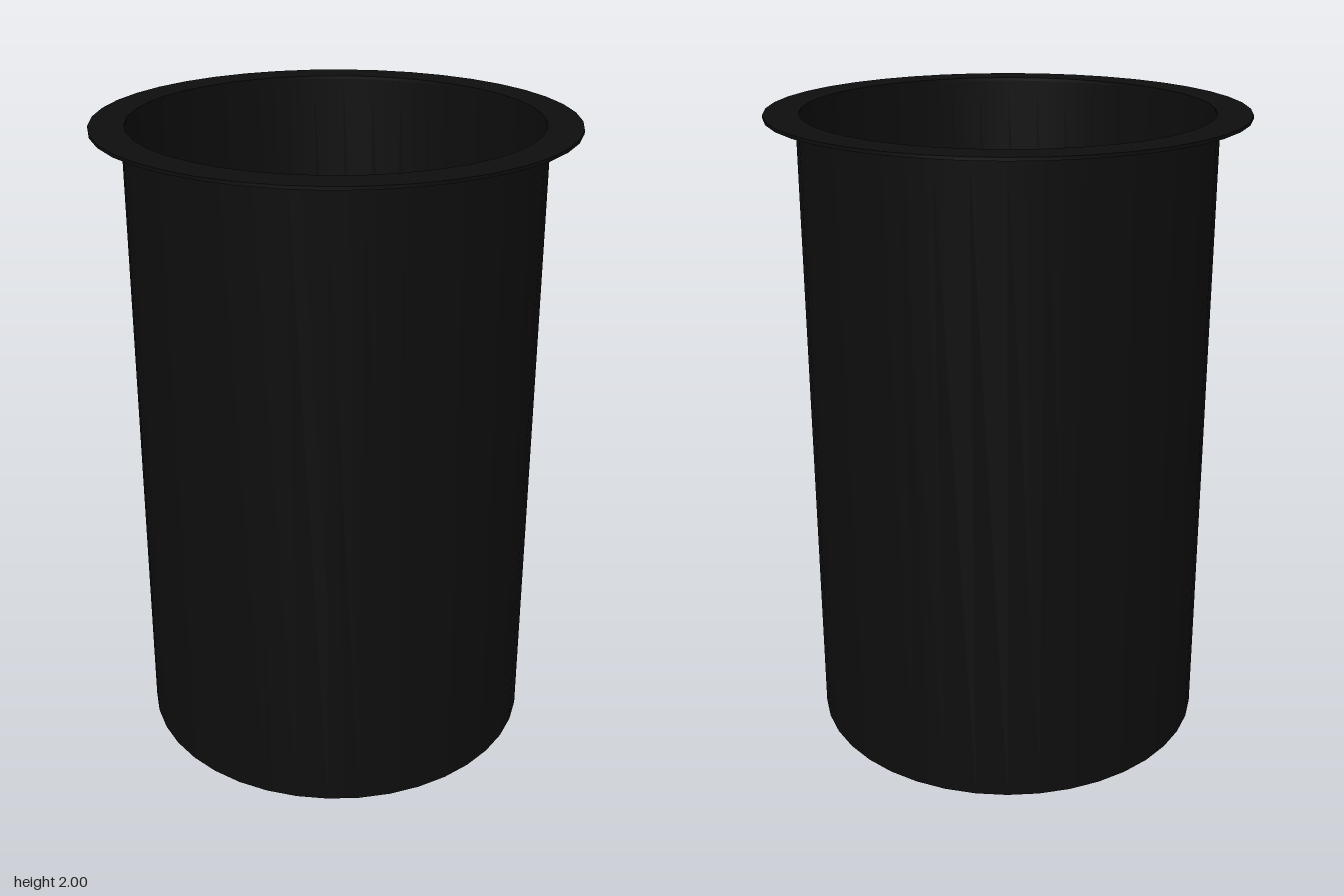
import * as THREE from 'three';
import { toCreasedNormals } from 'three/addons/utils/BufferGeometryUtils.js';

const SIDES = 40;
const HEIGHT = 2, OUTER = 0.63, INNER = 0.62, FLANGE = 0.725, THICK = 0.01;

// Revolve a [radius, y] profile, smooth round the axis and sharp at corners
function turned(name, points, material) {
  const profile = points.map(([r, y]) => new THREE.Vector2(r, y));
  const geometry = toCreasedNormals(new THREE.LatheGeometry(profile, SIDES), 0.5);
  const mesh = new THREE.Mesh(geometry, material);
  mesh.name = name;
  return mesh;
}

export function createModel() {
  const group = new THREE.Group();
  group.name = 'flangedCup';
  const black = new THREE.MeshStandardMaterial({ color: 0x0d0d0d });

  // Thin-walled open cup: underside, outer wall, inner wall, floor
  group.add(turned('cup', [
    [0, 0], [OUTER, 0], [OUTER, HEIGHT - THICK],
    [INNER, HEIGHT - THICK], [INNER, THICK], [0, THICK],
  ], black));

  // Flat flange around the mouth
  group.add(turned('flange', [
    [INNER, HEIGHT - THICK], [FLANGE, HEIGHT - THICK],
    [FLANGE, HEIGHT], [INNER, HEIGHT], [INNER, HEIGHT - THICK],
  ], black));

  return group;
}
